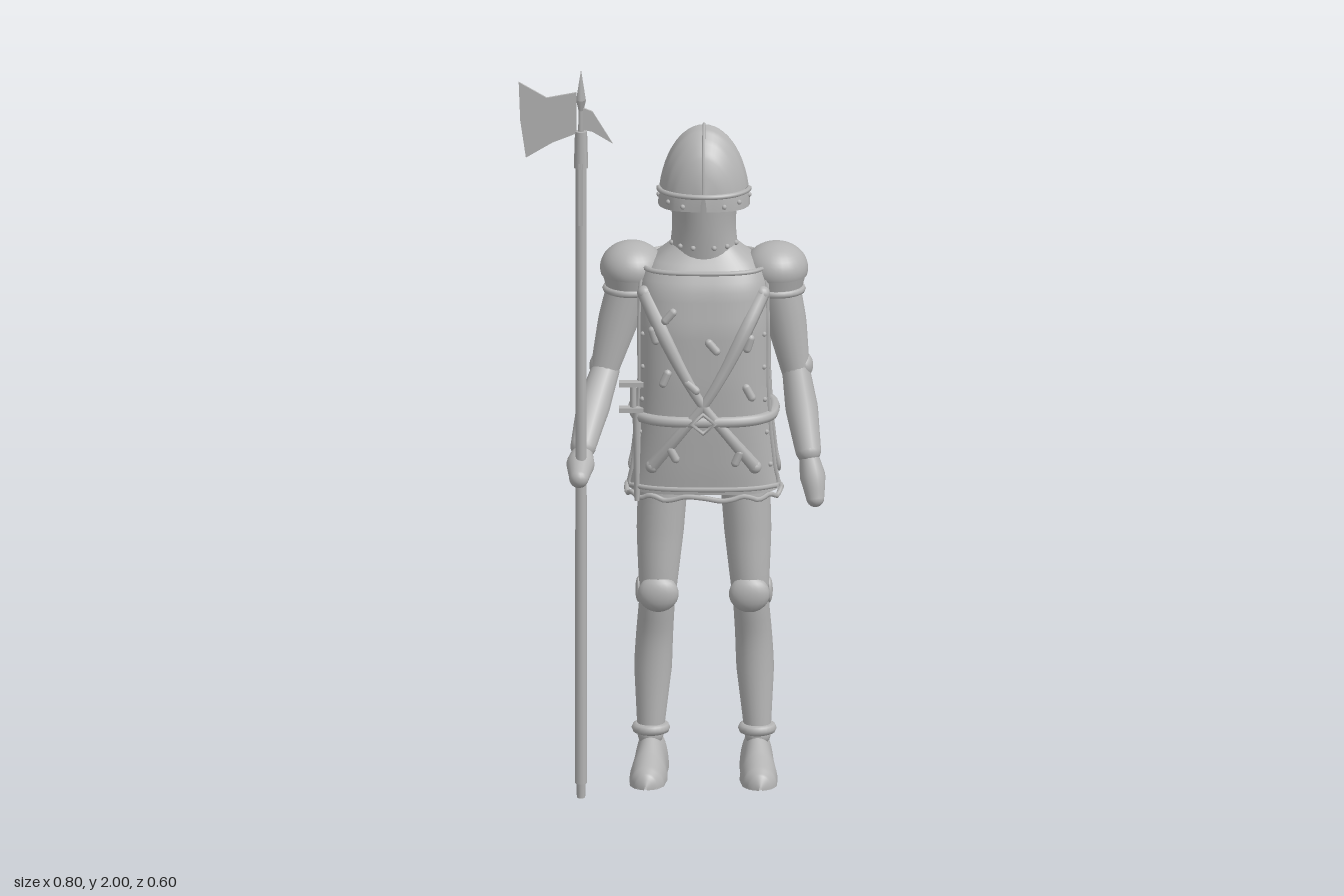
import * as THREE from 'three';
import { mergeVertices } from 'three/addons/utils/BufferGeometryUtils.js';

const steel = new THREE.MeshStandardMaterial({ color: 0xb4b4b4, side: THREE.DoubleSide });
steel.name = 'steel grey';
const V = (x, y, z) => new THREE.Vector3(x, y, z);

// linear lookup in rows sorted by their first entry
function lookup(rows, k, col) {
  let i = 0;
  while (i < rows.length - 2 && k > rows[i + 1][0]) i++;
  const a = rows[i], b = rows[i + 1];
  const t = THREE.MathUtils.clamp((k - a[0]) / (b[0] - a[0]), 0, 1);
  return a[col] + (b[col] - a[col]) * t;
}

// smooth surface from a rule f(u, v) => Vector3
function surface(nu, nv, f) {
  const pos = [], idx = [];
  for (let j = 0; j <= nv; j++) for (let i = 0; i <= nu; i++) pos.push(...f(i / nu, j / nv).toArray());
  for (let j = 0; j < nv; j++) for (let i = 0; i < nu; i++) {
    const a = j * (nu + 1) + i, b = a + nu + 1;
    idx.push(a, b, a + 1, b, b + 1, a + 1);
  }
  let g = new THREE.BufferGeometry();
  g.setAttribute('position', new THREE.Float32BufferAttribute(pos, 3));
  g.setIndex(idx);
  g = mergeVertices(g, 1e-5);
  g.computeVertexNormals();
  return g;
}

function add(parent, name, geo, x = 0, y = 0, z = 0) {
  const m = new THREE.Mesh(geo, steel);
  m.name = name;
  m.position.set(x, y, z);
  parent.add(m);
  return m;
}

function ball(parent, name, p, sx, sy = sx, sz = sx, seg = 18) {
  const m = add(parent, name, new THREE.SphereGeometry(1, seg, Math.ceil(seg * 0.6)), p.x, p.y, p.z);
  m.scale.set(sx, sy, sz);
  return m;
}

// round limb with varying radius along a curve
function limb(parent, name, pts, radii, seg = 16) {
  const curve = new THREE.CatmullRomCurve3(pts);
  const n = pts.length * 5;
  const g = new THREE.TubeGeometry(curve, n, 1, seg);
  const p = g.attributes.position, v = V(0, 0, 0);
  for (let i = 0; i < p.count; i++) {
    const t = Math.floor(i / (seg + 1)) / n, c = curve.getPointAt(t);
    const k = t * (radii.length - 1), j = Math.min(Math.floor(k), radii.length - 2);
    const r = radii[j] + (radii[j + 1] - radii[j]) * (k - j);
    v.fromBufferAttribute(p, i).sub(c).multiplyScalar(r).add(c);
    p.setXYZ(i, v.x, v.y, v.z);
  }
  ball(parent, name + 'Start', pts[0], radii[0]);
  ball(parent, name + 'End', pts[pts.length - 1], radii[radii.length - 1]);
  return add(parent, name, g);
}

// torso rows: y, half width, front depth, back depth
const TORSO = [[0.78, 0.2, 0.105, 0.135], [0.86, 0.185, 0.115, 0.135], [0.97, 0.172, 0.125, 0.125], [1.1, 0.165, 0.133, 0.135],
  [1.25, 0.166, 0.135, 0.143], [1.36, 0.163, 0.12, 0.14], [1.4, 0.152, 0.1, 0.125], [1.43, 0.115, 0.075, 0.09], [1.46, 0.08, 0.06, 0.07]];
const E = 0.7;
const pw = (c) => Math.sign(c) * Math.pow(Math.abs(c), E);
function torsoAt(a, y, off = 0) {
  const s = Math.sin(a);
  return V((lookup(TORSO, y, 1) + off) * pw(Math.cos(a)), y, (lookup(TORSO, y, s > 0 ? 2 : 3) + off) * pw(s));
}
function onTorso(x, y, side, off) {
  const w = lookup(TORSO, y, 1) + off, d = lookup(TORSO, y, side > 0 ? 2 : 3) + off;
  return V(x, y, side * d * Math.pow(Math.max(0, 1 - Math.pow(Math.abs(x / w), 2 / E)), E / 2));
}

// arched body along z; rows: z, half width, bottom, top
const archAt = (rows, z, a) => {
  const b = lookup(rows, z, 2);
  return V(lookup(rows, z, 1) * Math.cos(a), b + (lookup(rows, z, 3) - b) * Math.sin(a), z);
};
const arch = (rows, n) => surface(28, n, (u, v) =>
  archAt(rows, rows[0][0] + (rows[rows.length - 1][0] - rows[0][0]) * v, u * Math.PI));

const HELMET = [[-0.298, 0.004, 1.518, 1.522], [-0.29, 0.025, 1.52, 1.53], [-0.26, 0.052, 1.527, 1.557], [-0.2, 0.087, 1.54, 1.61],
  [-0.15, 0.102, 1.547, 1.65], [-0.1, 0.112, 1.552, 1.705], [-0.05, 0.118, 1.557, 1.752], [0, 0.121, 1.56, 1.778], [0.03, 0.117, 1.561, 1.77],
  [0.06, 0.103, 1.562, 1.745], [0.085, 0.08, 1.564, 1.71], [0.1, 0.055, 1.566, 1.67], [0.112, 0.008, 1.568, 1.61]];
const SHOE = [[-0.087, 0.015, 0, 0.06], [-0.08, 0.034, 0, 0.09], [-0.04, 0.045, 0, 0.112], [0.02, 0.045, 0, 0.1], [0.08, 0.05, 0, 0.072],
  [0.14, 0.045, 0, 0.052], [0.17, 0.028, 0, 0.035], [0.18, 0.004, 0, 0.01]];

function buildTorso(body) {
  add(body, 'torso', surface(48, 30, (u, v) => torsoAt(u * Math.PI * 2, 0.79 + 0.67 * v)));
  add(body, 'torsoBase', surface(48, 1, (u, v) => { const p = torsoAt(u * Math.PI * 2, 0.79); return V(p.x * v, p.y, p.z * v); }));
  const hem = new THREE.CatmullRomCurve3(Array.from({ length: 48 }, (_, i) => {
    const p = torsoAt(i / 48 * Math.PI * 2, 0.78, 0.003); p.y += 0.006 * Math.sin(i * 1.6); return p;
  }), true);
  add(body, 'skirtHem', new THREE.TubeGeometry(hem, 96, 0.007, 6, true));
  const belt = new THREE.CatmullRomCurve3(Array.from({ length: 32 }, (_, i) => torsoAt(i / 32 * Math.PI * 2, 1.0, 0.014)), true);
  add(body, 'belt', new THREE.TubeGeometry(belt, 96, 0.015, 8, true));
  const buckle = add(body, 'buckle', new THREE.TorusGeometry(0.026, 0.006, 6, 4), 0, 1.0, 0.158);
  buckle.scale.x = 1.2;

  for (const s of [1, -1]) {
    const side = s > 0 ? 'front' : 'back', a0 = 0.42, span = Math.PI - 0.84;
    const at = (u, v) => torsoAt(s * (a0 + span * u), 0.81 + 0.59 * v, 0.014);
    add(body, side + 'Plate', surface(32, 24, at));
    // rolled plate border
    const rim = [];
    for (let i = 0; i < 12; i++) rim.push(at(i / 12, 1));
    for (let i = 0; i < 12; i++) rim.push(at(1, 1 - i / 12));
    for (let i = 0; i < 12; i++) rim.push(at(1 - i / 12, 0));
    for (let i = 0; i < 12; i++) rim.push(at(0, i / 12));
    add(body, side + 'PlateRim', new THREE.TubeGeometry(new THREE.CatmullRomCurve3(rim, true), 120, 0.007, 6, true));
    // crossed straps and toggles
    for (const m of [1, -1]) {
      const line = [[-0.155, 1.34], [-0.11, 1.25], [-0.05, 1.13], [0, 1.045], [0.07, 0.955], [0.135, 0.87]];
      limb(body, side + 'Strap', line.map(([x, y]) => onTorso(m * x, y, s, 0.012)), [0.02, 0.02, 0.016, 0.013, 0.015, 0.018], 8);
    }
    for (const [x, y, r] of [[-0.09, 1.29, -0.7], [0.025, 1.21, 0.7], [-0.13, 1.235, 0.3], [0.12, 1.215, -0.3], [-0.1, 1.12, -0.4],
      [-0.03, 1.1, 0.8], [0.09, 0.9, -0.4], [-0.08, 0.91, 0.5], [0.12, 1.08, 0.5]]) {
      const p = onTorso(x, y, s, 0.018);
      add(body, side + 'Toggle', new THREE.CapsuleGeometry(0.011, 0.03, 4, 8), p.x, p.y, p.z).rotation.z = r;
    }
    for (const m of [1, -1]) for (let i = 0; i < 6; i++) {
      ball(body, side + 'PlateStud', torsoAt(s * (Math.PI / 2 + m * 1.0), 0.87 + i * 0.09, 0.014), 0.007, 0.007, 0.007, 8);
    }
  }
  // dagger at the right hip
  const dagger = new THREE.Group();
  dagger.name = 'dagger';
  dagger.position.set(-0.185, 0, 0.09);
  add(dagger, 'sheath', new THREE.CylinderGeometry(0.012, 0.007, 0.25, 8), 0.01, 0.895, 0);
  add(dagger, 'grip', new THREE.CylinderGeometry(0.008, 0.008, 0.08, 8), 0, 1.055, 0);
  for (const y of [1.02, 1.09]) add(dagger, 'guard', new THREE.BoxGeometry(0.065, 0.013, 0.025), -0.005, y, 0);
  body.add(dagger);
}

function buildHead(body) {
  add(body, 'faceGuard', surface(32, 8, (u, v) => {
    const a = u * Math.PI * 2, w = 0.096 - 0.012 * Math.sin(v * Math.PI), s = Math.sin(a);
    return V(w * Math.cos(a), 1.41 + 0.2 * v, s * (s > 0 ? 0.075 + 0.028 * v : 0.08));
  }));
  add(body, 'helmet', arch(HELMET, 82));
  const ridge = HELMET.slice(3).map((r) => V(0, r[3], r[0]));
  add(body, 'helmetRidge', new THREE.TubeGeometry(new THREE.CatmullRomCurve3(ridge), 60, 0.004, 6));
  // brow slot lip
  const lip = [];
  for (let i = 0; i <= 20; i++) { const a = Math.PI * i / 20; lip.push(V(0.119 * Math.cos(a), 1.61, 0.02 + 0.095 * Math.sin(a))); }
  add(body, 'browLip', new THREE.TubeGeometry(new THREE.CatmullRomCurve3(lip), 40, 0.007, 6));
  for (const s of [1, -1]) {
    for (const z of [-0.26, -0.195, -0.09, 0.01, 0.07, 0.1]) {
      const p = archAt(HELMET, z, 0.13);
      ball(body, 'helmetRivet', V(s * p.x, p.y, z), 0.007, 0.007, 0.007, 8);
    }
    for (const a of [0.3, 0.8, 1.25]) ball(body, 'guardRivet', V(s * 0.088 * Math.cos(a), 1.46, 0.084 * Math.sin(a)), 0.007, 0.007, 0.007, 8);
  }
}

function buildArms(body) {
  for (const s of [1, -1]) {
    const dome = new THREE.SphereGeometry(1, 28, 12, 0, Math.PI * 2, 0, Math.PI * 0.58);
    add(body, 'pauldron', dome, s * 0.19, 1.382, -0.01).scale.set(0.084, 0.07, 0.09);
    add(body, 'pauldronBand', new THREE.CylinderGeometry(0.075, 0.066, 0.035, 24), s * 0.192, 1.345, -0.01);
    const lower = add(body, 'pauldronRim', new THREE.TorusGeometry(0.064, 0.01, 8, 24), s * 0.194, 1.325, -0.01);
    lower.rotation.x = Math.PI / 2;
  }
  limb(body, 'leftUpperArm', [V(0.19, 1.36, -0.01), V(0.215, 1.24, -0.015), V(0.24, 1.1, -0.02)], [0.058, 0.053, 0.038]);
  limb(body, 'leftForearm', [V(0.24, 1.11, -0.02), V(0.258, 1.0, 0.02), V(0.275, 0.9, 0.06)], [0.036, 0.043, 0.034]);
  limb(body, 'leftHand', [V(0.276, 0.89, 0.062), V(0.288, 0.83, 0.085), V(0.294, 0.78, 0.094)], [0.025, 0.034, 0.024]);
  ball(body, 'leftElbowCop', V(0.265, 1.11, -0.025), 0.022, 0.033, 0.033);
  limb(body, 'rightUpperArm', [V(-0.19, 1.36, -0.01), V(-0.225, 1.24, -0.005), V(-0.26, 1.11, 0)], [0.058, 0.053, 0.038]);
  limb(body, 'rightForearm', [V(-0.26, 1.1, 0), V(-0.29, 1.025, 0.09), V(-0.315, 0.945, 0.18)], [0.038, 0.044, 0.034]);
  limb(body, 'rightHand', [V(-0.316, 0.935, 0.18), V(-0.322, 0.908, 0.23), V(-0.325, 0.885, 0.272)], [0.025, 0.038, 0.026]);
  ball(body, 'rightElbowCop', V(-0.28, 1.11, -0.01), 0.022, 0.033, 0.035);
}

function buildLegs(body) {
  for (const s of [1, -1]) {
    limb(body, 'leg', [V(s * 0.105, 0.85, -0.005), V(s * 0.115, 0.67, 0), V(s * 0.122, 0.5, 0.005), V(s * 0.131, 0.36, -0.015), V(s * 0.141, 0.1, -0.01)],
      [0.067, 0.062, 0.047, 0.05, 0.034], 20);
    ball(body, 'kneeCop', V(s * 0.12, 0.5, 0.042), 0.054, 0.05, 0.03);
    ball(body, 'kneeWing', V(s * 0.172, 0.5, 0), 0.009, 0.035, 0.026);
    const cuff = add(body, 'ankleCuff', new THREE.TorusGeometry(0.037, 0.014, 8, 24), s * 0.14, 0.118, -0.01);
    cuff.rotation.x = Math.PI / 2;
    const foot = add(body, 'shoe', arch(SHOE, 40), s * 0.14, 0, 0);
    foot.rotation.y = s * 0.06;
    const sole = new THREE.Shape([...SHOE.map((r) => [r[1], r[0]]), ...SHOE.slice().reverse().map((r) => [-r[1], r[0]])]
      .map(([x, z]) => new THREE.Vector2(x, z)));
    const base = add(body, 'sole', new THREE.ShapeGeometry(sole), s * 0.14, 0.002, 0);
    base.rotation.set(Math.PI / 2, 0, -s * 0.06);
  }
}

function plate(parent, name, pts) {
  const shape = new THREE.Shape(pts.map(([x, y]) => new THREE.Vector2(x, y)));
  add(parent, name, new THREE.ExtrudeGeometry(shape, { depth: 0.008, bevelEnabled: false }), 0, 0, -0.004);
}

function buildPolearm() {
  const g = new THREE.Group();
  g.name = 'polearm';
  g.position.set(-0.24, 0, 0.245);
  add(g, 'shaft', new THREE.CylinderGeometry(0.014, 0.016, 1.71, 12), 0, 0.895, 0);
  add(g, 'shaftFoot', new THREE.CylinderGeometry(0.013, 0.011, 0.05, 8), 0, 0.025, 0);
  add(g, 'socket', new THREE.CylinderGeometry(0.016, 0.019, 0.1, 8), 0, 1.78, 0);
  for (const s of [1, -1]) add(g, 'langet', new THREE.BoxGeometry(0.012, 0.17, 0.004), 0, 1.66, s * 0.0155);
  add(g, 'spikeNeck', new THREE.CylinderGeometry(0.006, 0.008, 0.08, 4), 0, 1.86, 0);
  add(g, 'spikeLower', new THREE.CylinderGeometry(0.013, 0.006, 0.03, 4), 0, 1.9, 0);
  add(g, 'spike', new THREE.ConeGeometry(0.013, 0.085, 4), 0, 1.9575, 0);
  plate(g, 'axeBlade', [[-0.164, 1.965], [-0.09, 1.922], [-0.012, 1.937], [-0.012, 1.825], [-0.075, 1.8], [-0.145, 1.758], [-0.16, 1.86]]);
  plate(g, 'fluke', [[0.005, 1.895], [0.03, 1.885], [0.083, 1.798], [0.03, 1.83], [0.005, 1.835]]);
  return g;
}

export function createModel() {
  const model = new THREE.Group();
  model.name = 'armouredGuard';
  const body = new THREE.Group();
  body.name = 'body';
  body.position.x = 0.08;
  buildTorso(body);
  buildHead(body);
  buildArms(body);
  buildLegs(body);
  model.add(body, buildPolearm());
  return model;
}
